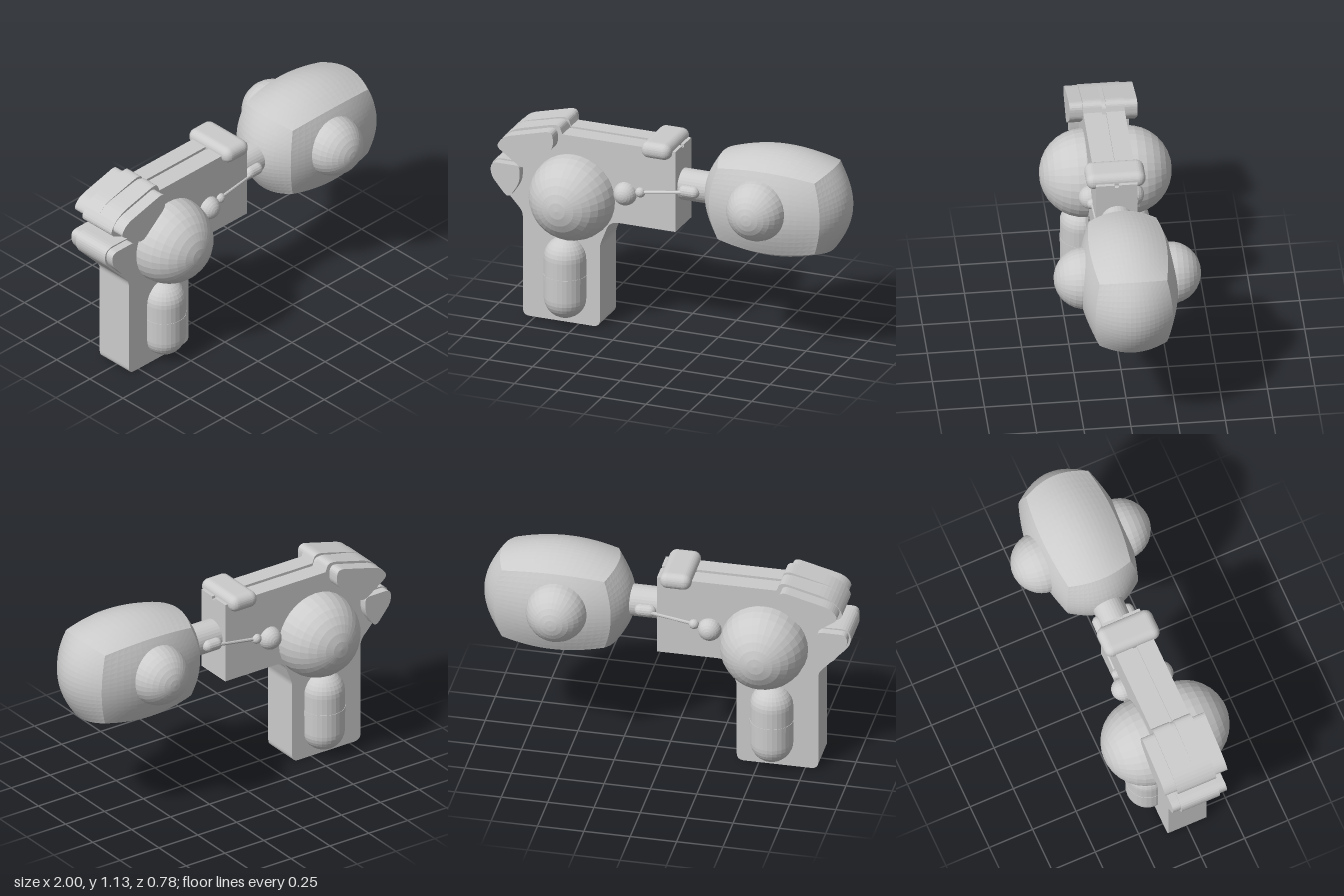
import * as THREE from 'three';
import { RoundedBoxGeometry } from 'three/addons/geometries/RoundedBoxGeometry.js';

const material = new THREE.MeshStandardMaterial({ color: 0xcccccc, flatShading: true });

// Closed polygon with rounded corners; each point is [x, y, radius]
function roundedShape(points) {
  const shape = new THREE.Shape();
  const n = points.length;
  points.forEach(([x, y, r = 0], i) => {
    const p = new THREE.Vector2(x, y);
    const toward = (q) => {
      const d = new THREE.Vector2(q[0], q[1]).sub(p);
      return p.clone().add(d.setLength(Math.min(r, d.length() * 0.5)));
    };
    const a = toward(points[(i + n - 1) % n]);
    const b = toward(points[(i + 1) % n]);
    if (i === 0) shape.moveTo(a.x, a.y);
    else shape.lineTo(a.x, a.y);
    if (r > 0) shape.quadraticCurveTo(x, y, b.x, b.y);
  });
  shape.closePath();
  return shape;
}

// Plate extruded between two z values
function plate(points, z0, z1) {
  const geo = new THREE.ExtrudeGeometry(roundedShape(points), {
    depth: z1 - z0, bevelEnabled: false, curveSegments: 6,
  });
  return geo.translate(0, 0, z0);
}

// Cube blended toward an ellipsoid, keeping soft creases at its corners
function bulgedBox(hx, hy, hz, boxiness) {
  const geo = new THREE.BoxGeometry(2, 2, 2, 16, 16, 16);
  const pos = geo.attributes.position;
  const v = new THREE.Vector3();
  for (let i = 0; i < pos.count; i++) {
    v.fromBufferAttribute(pos, i);
    // even angular spacing across each face
    v.set(...v.toArray().map((c) => Math.tan(c * Math.PI / 4)));
    v.lerp(v.clone().normalize(), 1 - boxiness);
    pos.setXYZ(i, v.x * hx, v.y * hy, v.z * hz);
  }
  geo.computeVertexNormals();
  return geo;
}

export function createModel() {
  const model = new THREE.Group();
  const add = (name, geo, x = 0, y = 0, z = 0) => {
    const mesh = new THREE.Mesh(geo, material);
    mesh.name = name;
    mesh.position.set(x, y, z);
    model.add(mesh);
    return mesh;
  };

  // Body with grip and rear lobes, as two halves around a sunken core
  const outline = [
    [-0.82, 0, 0.04], [-0.38, 0, 0.04], [-0.38, 0.47, 0.02], [-0.325, 0.61, 0.05],
    [0.05, 0.61], [0.05, 1.065], [-0.595, 1.065], [-0.615, 1.12, 0.05],
    [-0.9, 1.045, 0.08], [-0.965, 0.945, 0.05], [-0.79, 0.87, 0.02],
    [-0.99, 0.875, 0.06], [-1.0, 0.785, 0.05], [-0.82, 0.59, 0.03],
  ];
  const core = outline.map(([x, y, r]) => [x, y > 1 && x > -0.85 ? y - 0.015 : y, r]);
  add('bodyLeftHalf', plate(outline, 0.011, 0.11));
  add('bodyRightHalf', plate(outline, -0.11, -0.011));
  add('bodyCore', plate(core, -0.011, 0.011));

  // Wider rear fins
  add('upperFin', plate([
    [-0.945, 0.97, 0.03], [-0.79, 0.86, 0.04], [-0.62, 1.005, 0.03],
    [-0.62, 1.105, 0.05], [-0.905, 1.03, 0.05],
  ], -0.18, 0.18));
  add('lowerFin', plate([
    [-0.985, 0.79, 0.04], [-0.885, 0.67, 0.04], [-0.82, 0.77, 0.04],
    [-0.82, 0.865, 0.03], [-0.985, 0.865, 0.04],
  ], -0.155, 0.155));

  // Sight across the top
  add('topSight', new RoundedBoxGeometry(0.17, 0.09, 0.315, 4, 0.042), -0.053, 1.062, 0);

  // Barrel and bulged head
  const barrel = add('barrel', new THREE.CylinderGeometry(0.085, 0.085, 0.2, 32), 0.14, 0.845, 0);
  barrel.rotation.z = Math.PI / 2;
  add('head', bulgedBox(0.405, 0.295, 0.262, 0.25), 0.595, 0.84, 0);

  // Mirrored details on both sides
  const rodStart = new THREE.Vector3(-0.15, 0.805, 0.11);
  const rodEnd = new THREE.Vector3(0.115, 0.845, 0.105);
  for (const [side, s] of [['left', 1], ['right', -1]]) {
    const ball = (name, r, x, y, z, seg) => {
      const mesh = add(side + name, new THREE.SphereGeometry(r, seg, seg / 2), x, y, s * z);
      mesh.rotation.x = Math.PI / 2;
    };
    ball('HeadBall', 0.165, 0.565, 0.86, 0.225, 32);
    ball('BodyBall', 0.236, -0.53, 0.725, 0.115, 32);
    ball('LinkBall', 0.064, -0.235, 0.785, 0.11, 24);
    ball('RodBall', 0.028, -0.15, 0.805, 0.11, 16);

    // Grip pad with a slim waist band
    add(side + 'GripPad', new THREE.CapsuleGeometry(0.115, 0.225, 8, 28), -0.572, 0.263, s * 0.122);
    add(side + 'GripBand', new THREE.CylinderGeometry(0.117, 0.117, 0.03, 28), -0.572, 0.268, s * 0.122);

    // Linkage rod and its end mount
    const a = rodStart.clone().setZ(s * rodStart.z);
    const b = rodEnd.clone().setZ(s * rodEnd.z);
    add(side + 'Rod', new THREE.TubeGeometry(new THREE.LineCurve3(a, b), 1, 0.01, 10));
    const mount = add(side + 'RodMount', new THREE.CapsuleGeometry(0.033, 0.05, 6, 16), 0.118, 0.84, s * 0.085);
    mount.rotation.z = Math.PI / 2;
  }

  return model;
}
